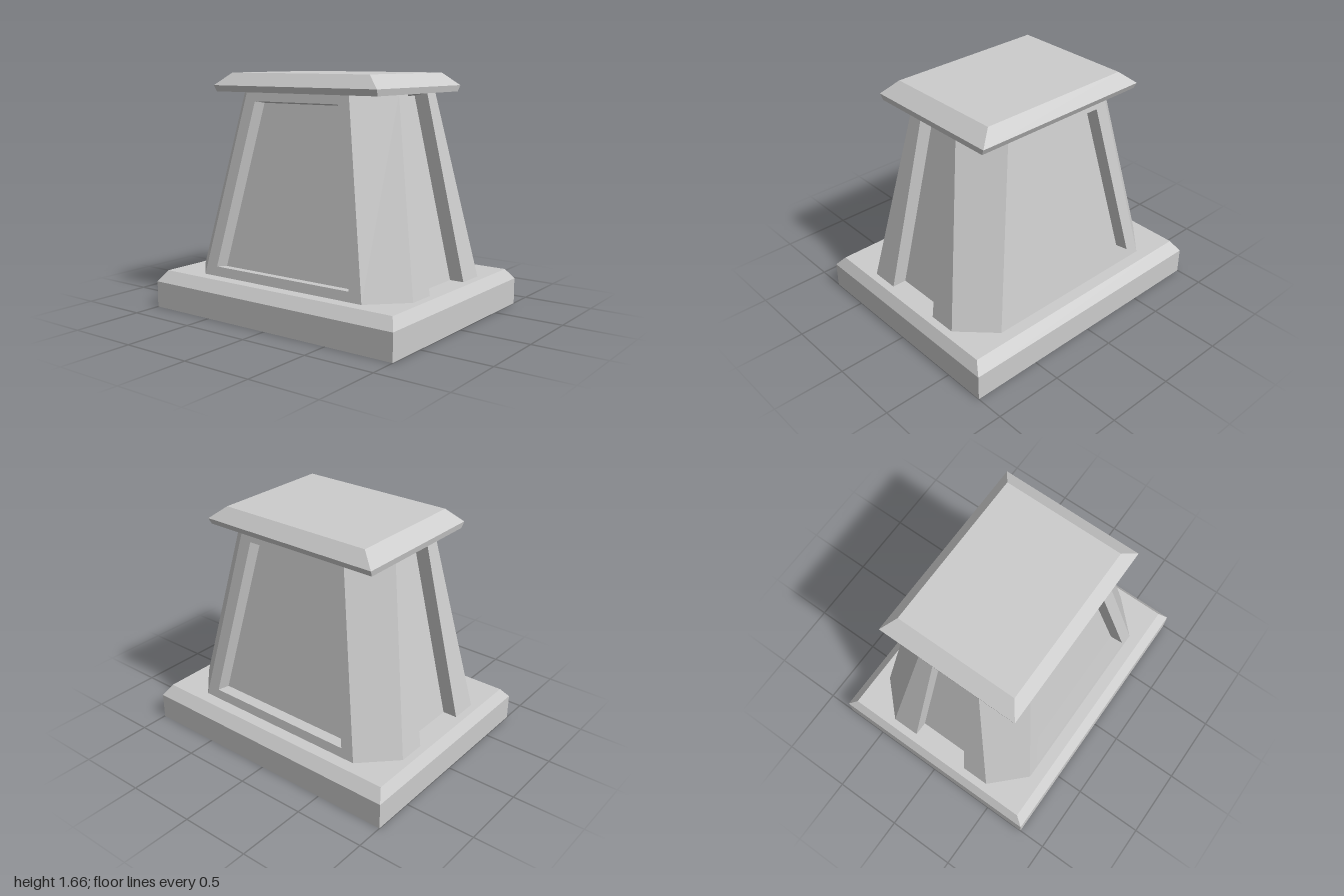
import * as THREE from 'three';

const material = new THREE.MeshStandardMaterial({ color: 0xcccccc, flatShading: true });
const UP = new THREE.Vector3(0, 1, 0);
const V = (x, y, z) => new THREE.Vector3(x, y, z);

// Adds a four-cornered face (counter-clockwise from outside), skipping empty triangles
function quad(out, a, b, c, d) {
  for (const t of [[a, b, c], [a, c, d]]) {
    if (new THREE.Triangle(...t).getArea() > 1e-6) t.forEach(p => out.push(p.x, p.y, p.z));
  }
}

function makeMesh(name, points) {
  const geometry = new THREE.BufferGeometry();
  geometry.setAttribute('position', new THREE.Float32BufferAttribute(points, 3));
  geometry.computeVertexNormals();
  const mesh = new THREE.Mesh(geometry, material);
  mesh.name = name;
  return mesh;
}

// Closed stack of rectangles, each level given as [halfX, y, halfZ]
function slab(name, levels) {
  const out = [];
  const loops = levels.map(([x, y, z]) => [V(-x, y, z), V(x, y, z), V(x, y, -z), V(-x, y, -z)]);
  for (let k = 0; k + 1 < loops.length; k++) {
    for (let i = 0; i < 4; i++) {
      const j = (i + 1) % 4;
      quad(out, loops[k][i], loops[k][j], loops[k + 1][j], loops[k + 1][i]);
    }
  }
  quad(out, ...[...loops[0]].reverse());
  quad(out, ...loops[loops.length - 1]);
  return makeMesh(name, out);
}

// Body heights and tapering half sizes [bottom, top]
const Y0 = 0.26, Y1 = 1.53;
const HALF_X = [0.9, 0.655], HALF_Z = [0.65, 0.455];
const FRONT_W = [0.67, 0.43], SIDE_W = [0.42, 0.225];

// Sloping face with a recess sunk at right angles to it
function recessedPanel(name, turn, dist, width, hole, depth) {
  const out = [];
  const at = (u, y) => V(u, y, THREE.MathUtils.mapLinear(y, Y0, Y1, dist[0], dist[1]));
  const trapezoid = (w0, y0, w1, y1) => [at(-w0, y0), at(w0, y0), at(w1, y1), at(-w1, y1)];
  const inward = V(0, dist[1] - dist[0], Y0 - Y1).setLength(depth);
  const outer = trapezoid(width[0], Y0, width[1], Y1);
  const rim = trapezoid(...hole);
  const floor = rim.map(p => p.clone().add(inward));
  for (const p of [...outer, ...rim, ...floor]) p.applyAxisAngle(UP, turn);
  for (let i = 0; i < 4; i++) {
    const j = (i + 1) % 4;
    quad(out, outer[i], outer[j], rim[j], rim[i]);
    quad(out, rim[i], rim[j], floor[j], floor[i]);
  }
  quad(out, ...floor);
  return makeMesh(name, out);
}

// Sloping corner faces between the front/back and the sides
function cornerFaces() {
  const out = [];
  for (const sx of [1, -1]) {
    for (const sz of [1, -1]) {
      const f = [0, 1].map(k => V(sx * FRONT_W[k], k ? Y1 : Y0, sz * HALF_Z[k]));
      const s = [0, 1].map(k => V(sx * HALF_X[k], k ? Y1 : Y0, sz * SIDE_W[k]));
      if (sx * sz > 0) quad(out, f[0], s[0], s[1], f[1]);
      else quad(out, s[0], f[0], f[1], s[1]);
    }
  }
  return makeMesh('cornerFaces', out);
}

export function createModel() {
  const model = new THREE.Group();
  model.name = 'pedestal';

  // Plinth and cap with bevelled edges
  model.add(slab('base', [[1, 0, 0.8], [1, 0.185, 0.8], [0.955, Y0, 0.735]]));
  model.add(slab('cap', [[0.675, Y1, 0.495], [0.683, 1.573, 0.516], [0.577, 1.66, 0.438]]));

  // Tapered body: framed panels front and back, full-height channels at the sides
  const body = new THREE.Group();
  body.name = 'body';
  const window = [0.565, 0.325, 0.35, 1.47];
  const channel = [0.22, Y0, 0.12, Y1];
  body.add(
    cornerFaces(),
    recessedPanel('frontPanel', 0, HALF_Z, FRONT_W, window, 0.1),
    recessedPanel('backPanel', Math.PI, HALF_Z, FRONT_W, window, 0.1),
    recessedPanel('leftChannel', Math.PI / 2, HALF_X, SIDE_W, channel, 0.1),
    recessedPanel('rightChannel', -Math.PI / 2, HALF_X, SIDE_W, channel, 0.1),
  );
  model.add(body);
  return model;
}
